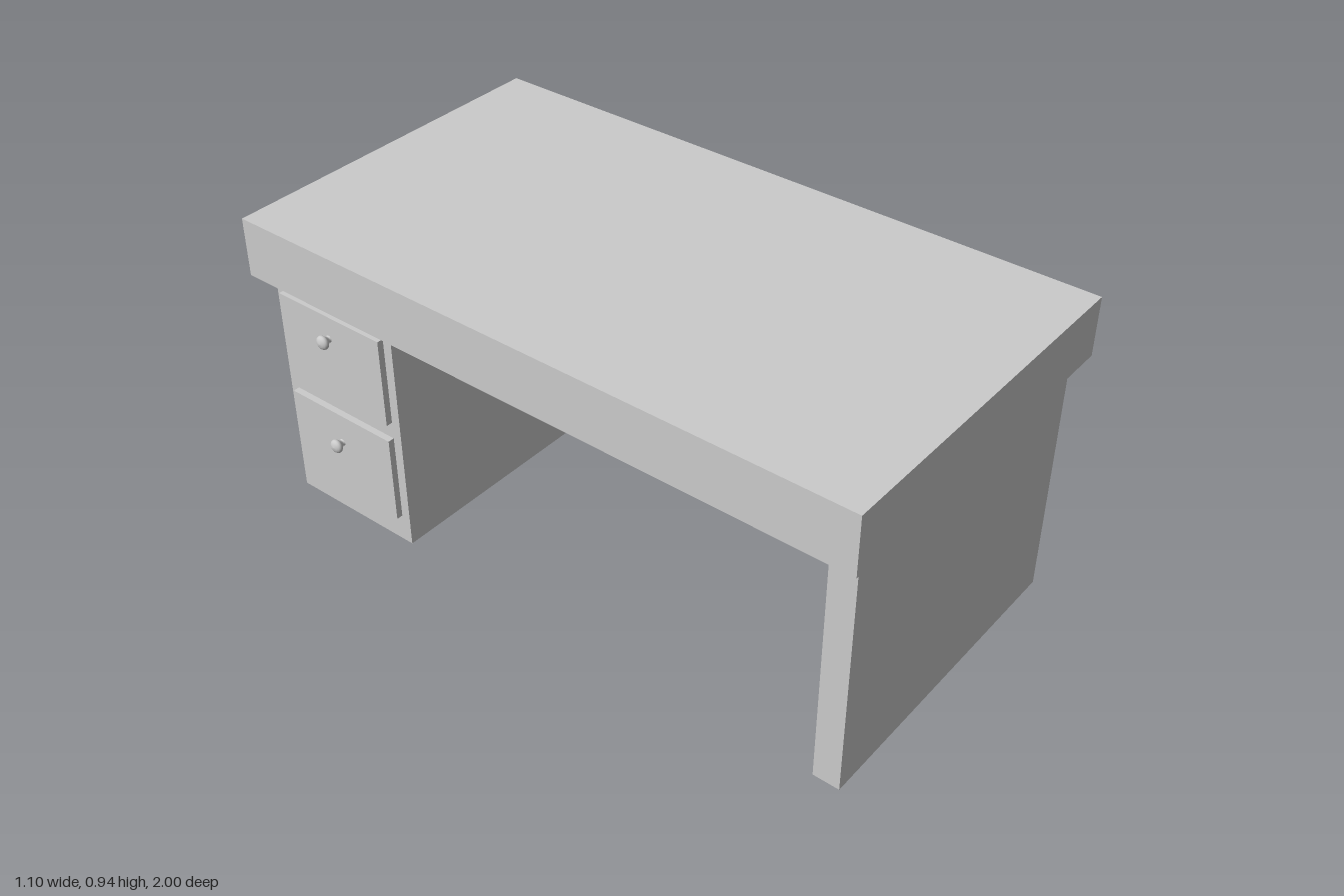
import * as THREE from 'three';

const material = new THREE.MeshStandardMaterial({ color: 0xcccccc });

// Box given by its [min, max] range on each axis
function box(name, [x0, x1], [y0, y1], [z0, z1]) {
  const mesh = new THREE.Mesh(new THREE.BoxGeometry(x1 - x0, y1 - y0, z1 - z0), material);
  mesh.name = name;
  mesh.position.set((x0 + x1) / 2, (y0 + y1) / 2, (z0 + z1) / 2);
  return mesh;
}

// Round pull knob: narrow neck swelling to a domed head, pointing to -x
function knob() {
  const profile = [
    [0.011, 0], [0.009, 0.003], [0.0095, 0.006], [0.014, 0.012], [0.019, 0.017],
    [0.0215, 0.022], [0.0205, 0.027], [0.017, 0.031], [0.010, 0.0345], [0, 0.036],
  ].map(([r, h]) => new THREE.Vector2(r, h));
  const mesh = new THREE.Mesh(new THREE.LatheGeometry(profile, 32), material);
  mesh.name = 'drawerKnob';
  mesh.rotation.z = Math.PI / 2;
  return mesh;
}

export function createModel() {
  const desk = new THREE.Group();
  desk.name = 'desk';

  // Thick overhanging top
  desk.add(box('deskTop', [-0.55, 0.55], [0.76, 0.94], [-1, 1]));

  // Supports: drawer pedestal, end panel and the long panel joining them
  desk.add(box('drawerPedestal', [-0.49, 0.33], [0, 0.76], [-0.97, -0.52]));
  desk.add(box('endPanel', [-0.49, 0.49], [0, 0.76], [0.89, 0.97]));
  desk.add(box('longPanel', [0.33, 0.49], [0, 0.76], [-0.97, 0.89]));

  // Two drawers with raised fronts and knobs
  for (const bottom of [0.09, 0.425]) {
    const drawer = new THREE.Group();
    drawer.name = 'drawer';
    drawer.add(box('drawerFront', [-0.51, -0.49], [bottom, bottom + 0.28], [-0.94, -0.55]));
    const pull = knob();
    pull.position.set(-0.51, bottom === 0.09 ? 0.272 : 0.631, -0.75);
    drawer.add(pull);
    desk.add(drawer);
  }
  return desk;
}
